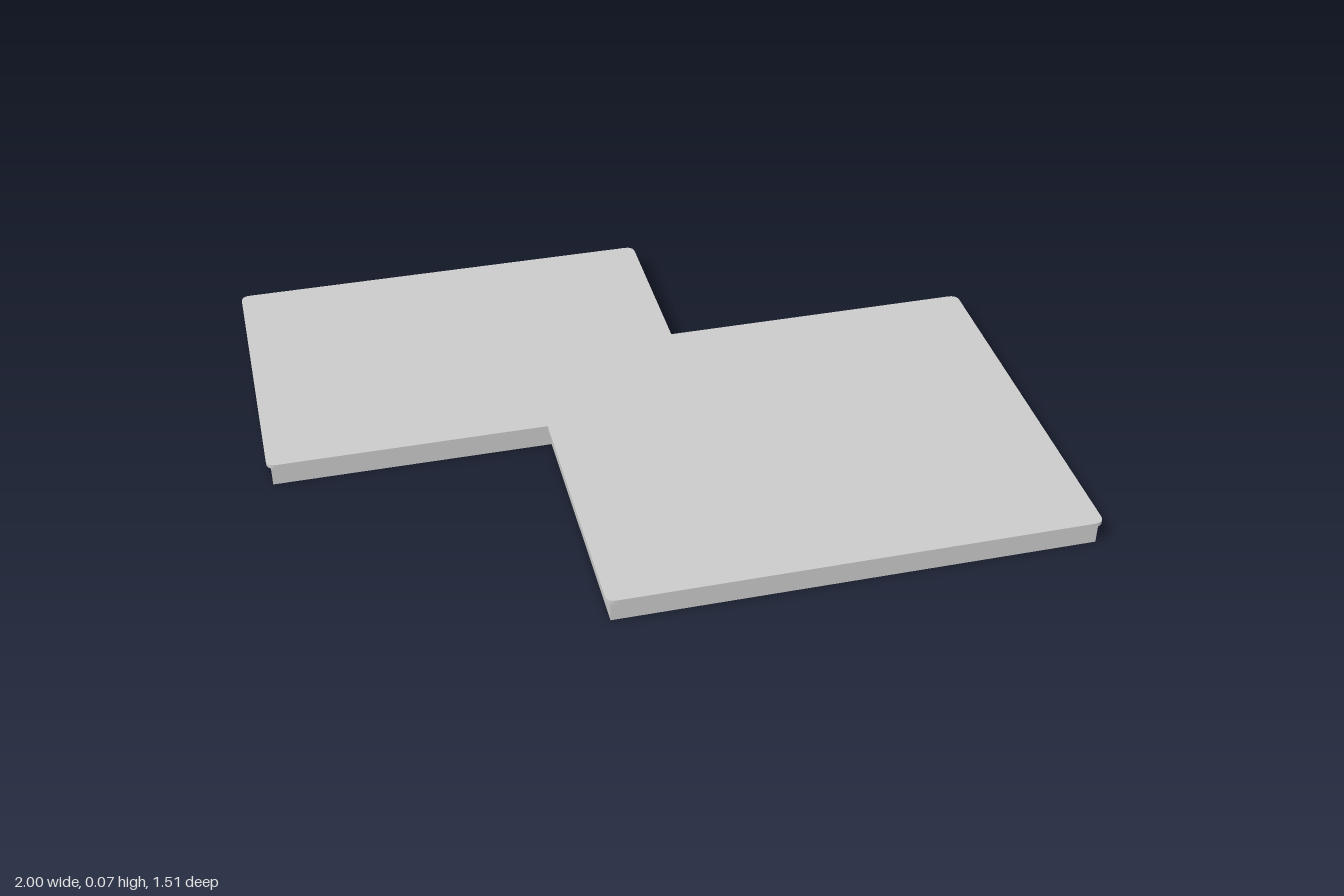
import * as THREE from 'three';

// Plan outline of two overlapping rectangles, moved inwards by `inset`
function outline(inset, radius, Kind = THREE.Shape) {
  const i = inset;
  // [x, z, convex], anticlockwise seen from above
  const pts = [
    [-0.265 + i, 0.757 - i, true], [1 - i, 0.757 - i, true],
    [1 - i, -0.287 + i, true], [0.155 - i, -0.287 + i, false],
    [0.155 - i, -0.757 + i, true], [-1 + i, -0.757 + i, true],
    [-1 + i, 0.05 - i, true], [-0.265 + i, 0.05 - i, false],
  ].map(([x, z, convex]) => ({ p: new THREE.Vector2(x, -z), convex }));
  const path = new Kind();
  pts.forEach(({ p, convex }, k) => {
    const prev = pts[(k + 7) % 8].p, next = pts[(k + 1) % 8].p;
    const r = convex ? radius : 0;
    const a = prev.clone().sub(p).setLength(r).add(p);
    const b = next.clone().sub(p).setLength(r).add(p);
    if (k === 0) path.moveTo(a.x, a.y);
    else path.lineTo(a.x, a.y);
    if (r > 0) path.quadraticCurveTo(p.x, p.y, b.x, b.y);
  });
  path.closePath();
  return path;
}

// Extrude a plan shape upwards from y
function slab(name, shape, y, depth, material) {
  const geometry = new THREE.ExtrudeGeometry(shape, { depth, bevelEnabled: false, curveSegments: 5 });
  geometry.rotateX(-Math.PI / 2).translate(0, y, 0);
  const mesh = new THREE.Mesh(geometry, material);
  mesh.name = name;
  return mesh;
}

export function createModel() {
  const group = new THREE.Group();
  group.name = 'steppedPlatform';
  const material = new THREE.MeshStandardMaterial({ color: 0xcccccc, side: THREE.DoubleSide });

  // Thin skirt wall, open underneath
  const skirt = outline(0.011, 0);
  skirt.holes.push(outline(0.014, 0, THREE.Path));
  group.add(slab('skirtWall', skirt, 0, 0.059, material));

  // Overhanging top plate with rounded outer corners
  group.add(slab('topPlate', outline(0, 0.025), 0.059, 0.011, material));
  return group;
}
